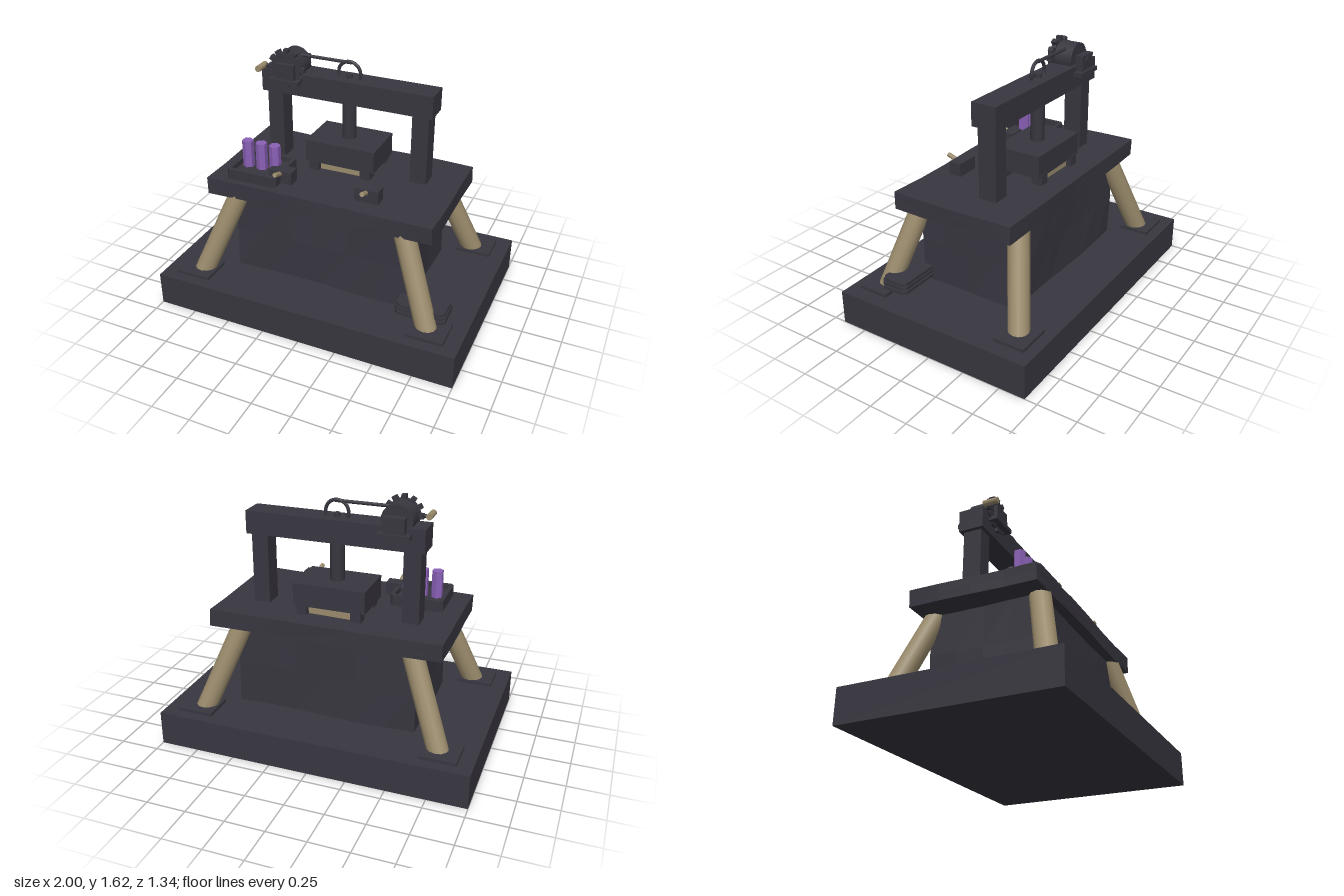
import * as THREE from 'three';

export function createModel() {
  const model = new THREE.Group();
  model.name = 'pressMachine';

  const mat = (name, color) => {
    const m = new THREE.MeshStandardMaterial({ color });
    m.name = name;
    return m;
  };
  const iron = mat('dark iron', 0x38363f);
  const brass = mat('dull brass', 0x9a8b6c);
  const crystal = mat('purple crystal', 0x8a60b6);

  const add = (name, geo, material, parent = model) => {
    const mesh = new THREE.Mesh(geo, material);
    mesh.name = name;
    parent.add(mesh);
    return mesh;
  };
  // Box given by its limits on each axis
  const box = (name, x0, x1, y0, y1, z0, z1, material = iron, parent = model) => {
    const m = add(name, new THREE.BoxGeometry(x1 - x0, y1 - y0, z1 - z0), material, parent);
    m.position.set((x0 + x1) / 2, (y0 + y1) / 2, (z0 + z1) / 2);
    return m;
  };
  // Cylinder running between two points
  const rod = (name, a, b, r, sides, material = iron, parent = model) => {
    const p = new THREE.Vector3(...a), q = new THREE.Vector3(...b);
    const m = add(name, new THREE.CylinderGeometry(r, r, p.distanceTo(q), sides), material, parent);
    m.position.copy(p).add(q).multiplyScalar(0.5);
    m.quaternion.setFromUnitVectors(new THREE.Vector3(0, 1, 0), q.sub(p).normalize());
    return m;
  };
  // Rectangle with cut corners, centred on the origin
  const cutRect = (w, d, c, Kind = THREE.Shape) => {
    const x = w / 2, y = d / 2;
    return new Kind([
      [-x + c, -y], [x - c, -y], [x, -y + c], [x, y - c],
      [x - c, y], [-x + c, y], [-x, y - c], [-x, -y + c],
    ].map(([u, v]) => new THREE.Vector2(u, v)));
  };
  // Horizontal slab extruded upward from a shape
  const slab = (shape, height) =>
    new THREE.ExtrudeGeometry(shape, { depth: height, bevelEnabled: false }).rotateX(-Math.PI / 2);
  // Slightly uneven, hand-hewn block
  const hewn = (name, w, h, d, y, amount) => {
    let geo = new THREE.BoxGeometry(w, h, d, 6, 2, 4);
    const p = geo.attributes.position;
    for (let i = 0; i < p.count; i++) {
      const a = p.getX(i), b = p.getY(i), c = p.getZ(i);
      p.setXYZ(i,
        a + amount * Math.sin(9 * b + 7 * c),
        b + amount * Math.sin(5 * a + 4 * c + 1),
        c + amount * Math.sin(6 * a + 8 * b + 2));
    }
    geo = geo.toNonIndexed();
    geo.computeVertexNormals();
    add(name, geo, iron).position.y = y;
  };

  // Plinth, core and table
  box('plinth', -1, 1, 0, 0.22, -0.67, 0.67);
  hewn('core', 1.17, 0.55, 0.69, 0.503, 0.005);
  hewn('tableTop', 1.49, 0.11, 0.82, 0.816, 0.004);

  // Splayed legs on foot plates
  for (const sx of [-1, 1]) for (const sz of [-1, 1]) {
    rod('leg', [sx * 0.775, 0.2, sz * 0.487], [sx * 0.535, 0.81, sz * 0.33], 0.066, 12, brass);
    const foot = add('footPlate', new THREE.BoxGeometry(0.23, 0.02, 0.2), iron);
    foot.position.set(sx * 0.79, 0.23, sz * 0.5);
  }

  // Gantry
  for (const s of [-1, 1]) box('post', s * 0.488 - 0.053, s * 0.488 + 0.053, 0.86, 1.34, -0.18, -0.06);
  box('crossBeam', -0.567, 0.567, 1.325, 1.47, -0.203, -0.037);

  // Press head, ram and die
  rod('ram', [0, 1.05, -0.12], [0, 1.34, -0.12], 0.045, 16);
  box('pressHead', -0.232, 0.232, 0.925, 1.07, -0.277, 0.037);
  box('diePlate', -0.14, 0.14, 0.865, 0.927, -0.25, 0.01, brass);
  for (const sx of [-1, 1]) for (const z of [0.005, -0.245])
    box('headFoot', sx * 0.175 - 0.033, sx * 0.175 + 0.033, 0.865, 0.94, z - 0.037, z + 0.037);

  // Lifting eye and cable
  add('liftingEye', new THREE.TorusGeometry(0.073, 0.011, 8, 32), iron).position.set(0, 1.5, -0.12);
  rod('eyeStub', [0, 1.46, -0.12], [0, 1.495, -0.12], 0.02, 12);
  rod('cable', [-0.385, 1.567, -0.12], [0.01, 1.567, -0.12], 0.011, 8);

  // Winch, with its axle along z
  const winch = new THREE.Group();
  winch.name = 'winch';
  winch.position.set(-0.388, 1.5, 0);
  model.add(winch);
  box('winchBase', -0.1, 0.1, -0.09, -0.063, -0.26, 0.02, iron, winch);
  for (const z of [-0.02, -0.22])
    box('bearing', -0.065, 0.065, -0.07, 0.035, z - 0.025, z + 0.025, iron, winch);
  rod('axle', [0, 0, -0.25], [0, 0, 0.005], 0.025, 12, iron, winch);
  rod('drum', [0, 0, -0.18], [0, 0, -0.06], 0.098, 24, iron, winch);
  rod('gearDisc', [0, 0, -0.055], [0, 0, -0.022], 0.1, 24, iron, winch);
  for (let i = 0; i < 12; i++) {
    const a = (i / 12) * Math.PI * 2;
    const tooth = box('gearTooth', -0.02, 0.02, -0.015, 0.015, -0.055, -0.02, iron, winch);
    tooth.position.x = Math.cos(a) * 0.103;
    tooth.position.y = Math.sin(a) * 0.103;
    tooth.rotation.z = a;
  }
  rod('crankArm', [-0.02, 0, -0.03], [-0.155, 0, -0.03], 0.012, 8, iron, winch);
  rod('crankHandle', [-0.155, 0, -0.045], [-0.155, 0, 0.055], 0.02, 10, brass, winch);

  // Tray with a rim and three hexagonal crystals
  const rim = cutRect(0.34, 0.315, 0.02);
  rim.holes.push(cutRect(0.29, 0.265, 0.005, THREE.Path));
  add('trayRim', slab(rim, 0.075), iron).position.set(-0.455, 0.865, 0.21);
  box('trayFloor', -0.605, -0.305, 0.865, 0.905, 0.072, 0.348);
  for (const x of [-0.55, -0.455, -0.36])
    add('crystal', new THREE.CylinderGeometry(0.037, 0.037, 0.18, 6).toNonIndexed(), crystal)
      .position.set(x, 0.992, 0.21);
  crystal.flatShading = true;

  // Two clamps with tilted pegs on the front of the table
  for (const s of [-1, 1]) {
    box('clamp', s * 0.288 - 0.077, s * 0.288 + 0.077, 0.87, 0.955, 0.208, 0.29);
    rod('clampPeg', [s * 0.288, 0.93, 0.27], [s * 0.288, 0.96, 0.355], 0.015, 10, brass);
  }

  // Stack of cut-corner plates beside the core
  [[0.255, 0.02, 0], [0.273, 0.015, 0.02], [0.285, 0.02, 0], [0.303, 0.022, 0.015]].forEach(([y, h, inset]) =>
    add('stackedPlate', slab(cutRect(0.32 - inset, 0.19 - inset, 0.025), h), iron)
      .position.set(0.707, y, 0.37));

  return model;
}
